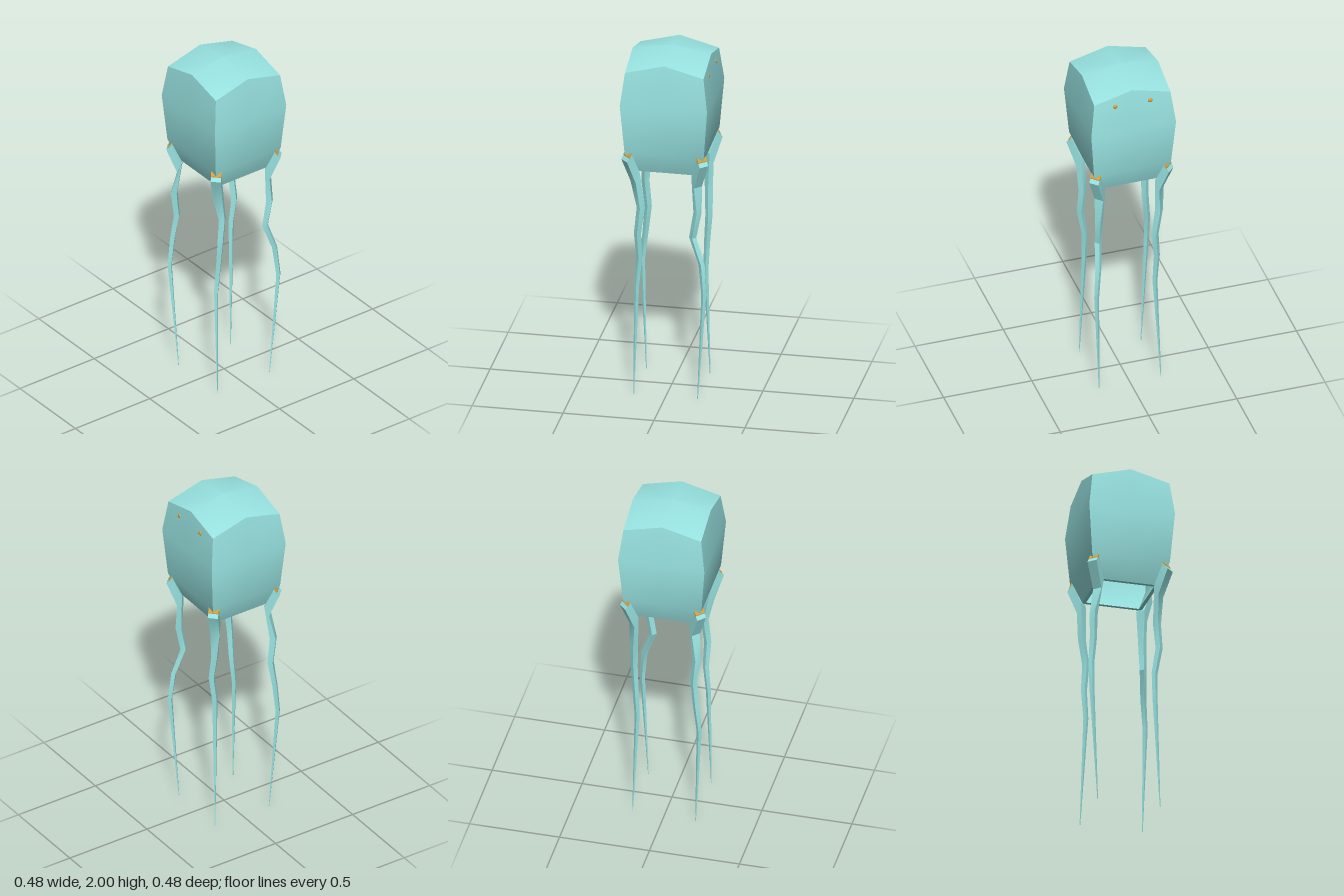
import * as THREE from 'three';
import { toCreasedNormals } from 'three/addons/utils/BufferGeometryUtils.js';

const teal = new THREE.MeshStandardMaterial({ color: 0x99e5e3 });
const amber = new THREE.MeshStandardMaterial({ color: 0xd9a03c });

// Skin a stack of equal-length closed rings of Vector3, skipping collapsed triangles.
function loft(rings, crease) {
  const pos = [];
  const tri = (a, b, c) => {
    if (new THREE.Triangle(a, b, c).getArea() < 1e-9) return;
    for (const p of [a, b, c]) pos.push(p.x, p.y, p.z);
  };
  for (let i = 0; i < rings.length - 1; i++) {
    const lo = rings[i], hi = rings[i + 1], n = lo.length;
    for (let j = 0; j < n; j++) {
      const k = (j + 1) % n;
      tri(lo[j], hi[j], lo[k]);
      tri(lo[k], hi[j], hi[k]);
    }
  }
  const g = new THREE.BufferGeometry();
  g.setAttribute('position', new THREE.Float32BufferAttribute(pos, 3));
  return toCreasedNormals(g, crease);
}

function add(parent, name, geometry, material) {
  const mesh = new THREE.Mesh(geometry, material);
  mesh.name = name;
  parent.add(mesh);
  return mesh;
}

// Square ring: corners and edge midpoints, midpoints lifted by `arch`.
const SQUARE = [[1, 0], [1, 1], [0, 1], [-1, 1], [-1, 0], [-1, -1], [0, -1], [1, -1]];
const squareRing = (half, y, arch = 0) =>
  SQUARE.map(([x, z]) => new THREE.Vector3(x * half, y + (x * z === 0 ? arch : 0), z * half));

// Outer body profile from the open bottom to the domed top: half width, height, arch.
const PROFILE = [[0.168, 1.315, 0], [0.218, 1.44, 0], [0.24, 1.72, 0], [0.216, 1.907, 0.057], [0, 2, 0]];

function bodyGeometry() {
  const wall = 0.02;
  const outer = PROFILE.map(([h, y, a]) => squareRing(h, y, a));
  const inner = PROFILE.map(([h, y, a], i) =>
    squareRing(Math.max(h - wall, 0), i > 2 ? y - wall : y, a)).reverse();
  return loft([...inner, ...outer], 0.6);
}

// Leg section turned to the diagonal; its inner edge sits `tilt` above its centre.
function legRing(sx, sz, [x, y, z, radial, side, tilt = 0]) {
  const ex = sx * Math.SQRT1_2, ez = sz * Math.SQRT1_2;
  return [[1, 1], [-1, 1], [-1, -1], [1, -1]].map(([r, t]) => new THREE.Vector3(
    sx * x + ex * r * radial - ez * t * side,
    y - r * tilt,
    sz * z + ez * r * radial + ex * t * side));
}

// Close both ends of a stack of rings.
function capped(rings) {
  const point = (ring) => {
    const c = new THREE.Vector3();
    ring.forEach((p) => c.addScaledVector(p, 1 / ring.length));
    return ring.map(() => c);
  };
  return [point(rings[0]), ...rings, point(rings[rings.length - 1])];
}

// Each leg bends its own way: distances |x|, |z| at the four knuckles, from low to high.
const KNUCKLES = [[0.63, 0.01], [0.8, 0.012], [0.95, 0.014], [1.1, 0.016]];
const LEGS = [
  { name: 'frontLeftLeg', sx: 1, sz: 1, x: [0.15, 0.152, 0.175, 0.168], z: [0.165, 0.15, 0.155, 0.138] },
  { name: 'frontRightLeg', sx: -1, sz: 1, x: [0.215, 0.214, 0.198, 0.2], z: [0.205, 0.187, 0.17, 0.186] },
  { name: 'backLeftLeg', sx: 1, sz: -1, x: [0.202, 0.188, 0.172, 0.175], z: [0.215, 0.2, 0.148, 0.175] },
  { name: 'backRightLeg', sx: -1, sz: -1, x: [0.147, 0.156, 0.142, 0.165], z: [0.157, 0.163, 0.175, 0.17] },
];

function makeLeg({ name, sx, sz, x, z }) {
  const leg = new THREE.Group();
  leg.name = name;
  const sections = [
    [0.175, 0, 0.175, 0.0015, 0.0015],
    ...KNUCKLES.map(([y, w], i) => [x[i], y, z[i], w, w]),
    [0.169, 1.28, 0.169, 0.013, 0.026, 0.03],
    [0.2097, 1.4125, 0.2097, 0.0135, 0.028, 0.0225],
  ];
  add(leg, 'limb', loft(capped(sections.map((s) => legRing(sx, sz, s))), 0.4), teal);
  // Amber strip along the upper half of the sloping hip
  const strip = [1.415, 1.428].map((y) => legRing(sx, sz, [0.205, y, 0.205, 0.0072, 0.0285, 0.011]));
  add(leg, 'hipStrip', loft(capped(strip), 0.4), amber);
  return leg;
}

export function createModel() {
  const model = new THREE.Group();
  model.name = 'fourLeggedJelly';
  add(model, 'hollowBody', bodyGeometry(), teal);
  LEGS.forEach((spec) => model.add(makeLeg(spec)));

  // Two small eyes on the back face
  for (const side of [-1, 1]) {
    const eye = add(model, side > 0 ? 'leftEye' : 'rightEye', new THREE.SphereGeometry(0.014, 12, 8), amber);
    eye.scale.z = 0.6;
    eye.position.set(side * 0.1, 1.88, -0.22);
  }
  return model;
}
